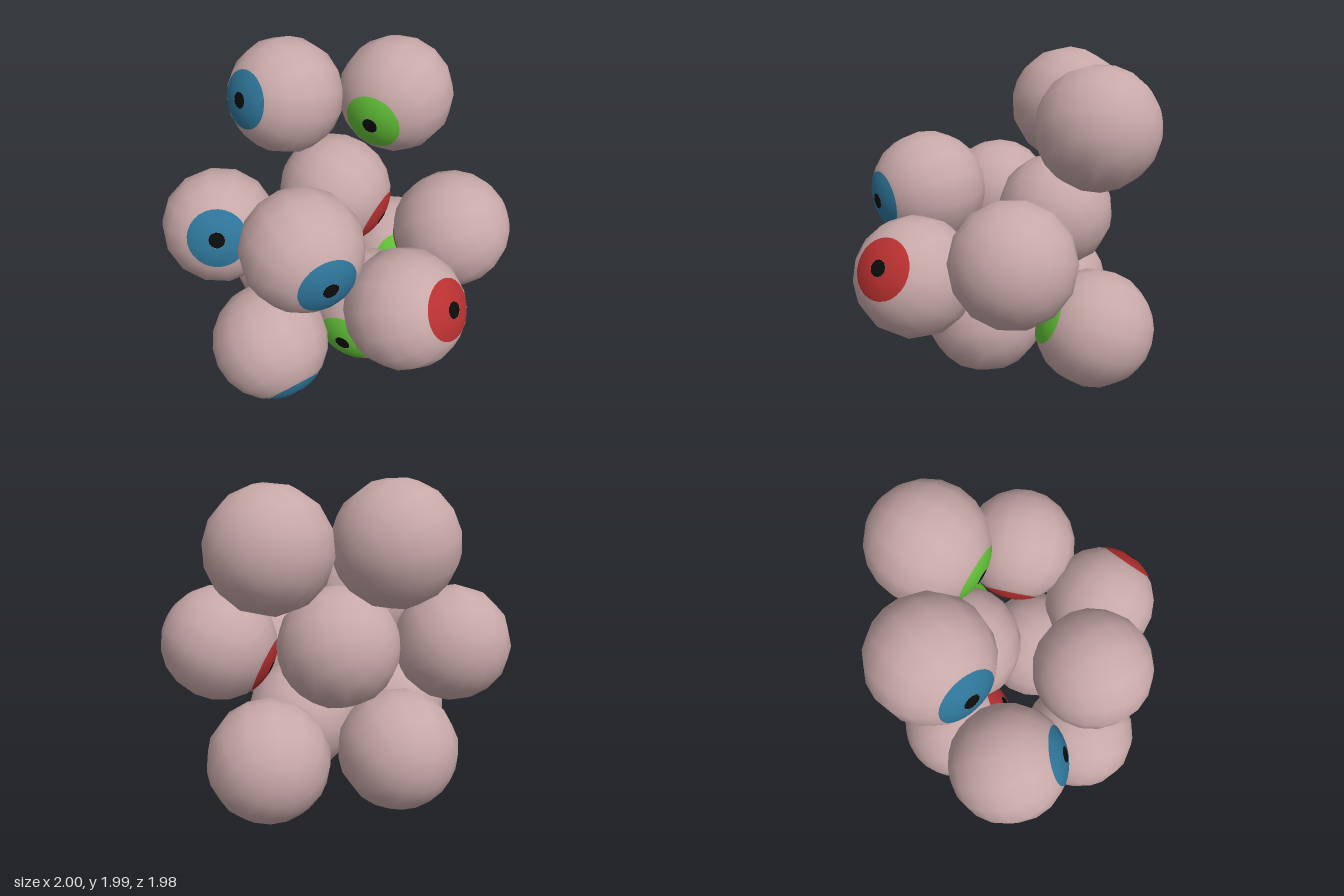
import * as THREE from 'three';

const R = 0.367;
const IRIS = 0.515; // angular radius of the iris
const PUPIL = 0.135; // angular radius of the pupil

const material = (name, color) => {
  const m = new THREE.MeshStandardMaterial({ color });
  m.name = name;
  return m;
};

export function createModel() {
  const group = new THREE.Group();
  group.name = 'eyeballPile';

  const mats = {
    flesh: material('paleFlesh', 0xc8a8a8),
    pupil: material('pupilBlack', 0x0c0c0c),
    blue: material('irisBlue', 0x2e7599),
    red: material('irisRed', 0xb83030),
    green: material('irisGreen', 0x63c238),
  };

  // Shared shapes, with the gaze along +y
  const ballGeo = new THREE.SphereGeometry(R, 14, 10);
  const irisGeo = new THREE.SphereGeometry(R + 0.001, 28, 4, 0, Math.PI * 2, PUPIL, IRIS - PUPIL);
  const pupilGeo = new THREE.SphereGeometry(R + 0.001, 14, 2, 0, Math.PI * 2, 0, PUPIL);

  const up = new THREE.Vector3(0, 1, 0);
  const addEye = (iris, position, gaze) => {
    const eye = new THREE.Group();
    eye.name = iris + 'Eyeball';
    const parts = [
      ['ball', ballGeo, mats.flesh],
      ['iris', irisGeo, mats[iris]],
      ['pupil', pupilGeo, mats.pupil],
    ];
    for (const [name, geo, mat] of parts) {
      const mesh = new THREE.Mesh(geo, mat);
      mesh.name = name;
      eye.add(mesh);
    }
    eye.position.set(...position);
    eye.quaternion.setFromUnitVectors(up, new THREE.Vector3(...gaze).normalize());
    group.add(eye);
  };

  // Bottom layer
  addEye('blue', [-0.635, 0.367, -0.08], [-0.2, -0.62, 0.76]);
  addEye('green', [0.635, 0.367, -0.065], [-0.63, 0.37, 0.68]);
  addEye('green', [0.0, 0.40, 0.2], [-0.97, -0.15, 0.2]);
  addEye('red', [0.03, 0.367, -0.57], [-0.47, 0.37, 0.79]);

  // Middle layer
  addEye('red', [-0.2, 0.745, 0.625], [0.04, 0.45, 0.89]);
  addEye('red', [0.425, 0.93, 0.525], [-0.43, -0.41, -0.8]);
  addEye('red', [0.22, 1.0, -0.26], [0.2, -0.36, 0.91]);
  addEye('blue', [-0.48, 0.93, -0.63], [-0.66, 0.36, 0.66]);
  addEye('blue', [-0.515, 1.12, 0.11], [-0.38, -0.09, 0.92]);

  // Top pair
  addEye('blue', [0.115, 1.63, -0.575], [-0.96, 0.24, -0.13]);
  addEye('green', [0.605, 1.61, -0.075], [-0.97, -0.16, 0.18]);

  return group;
}
